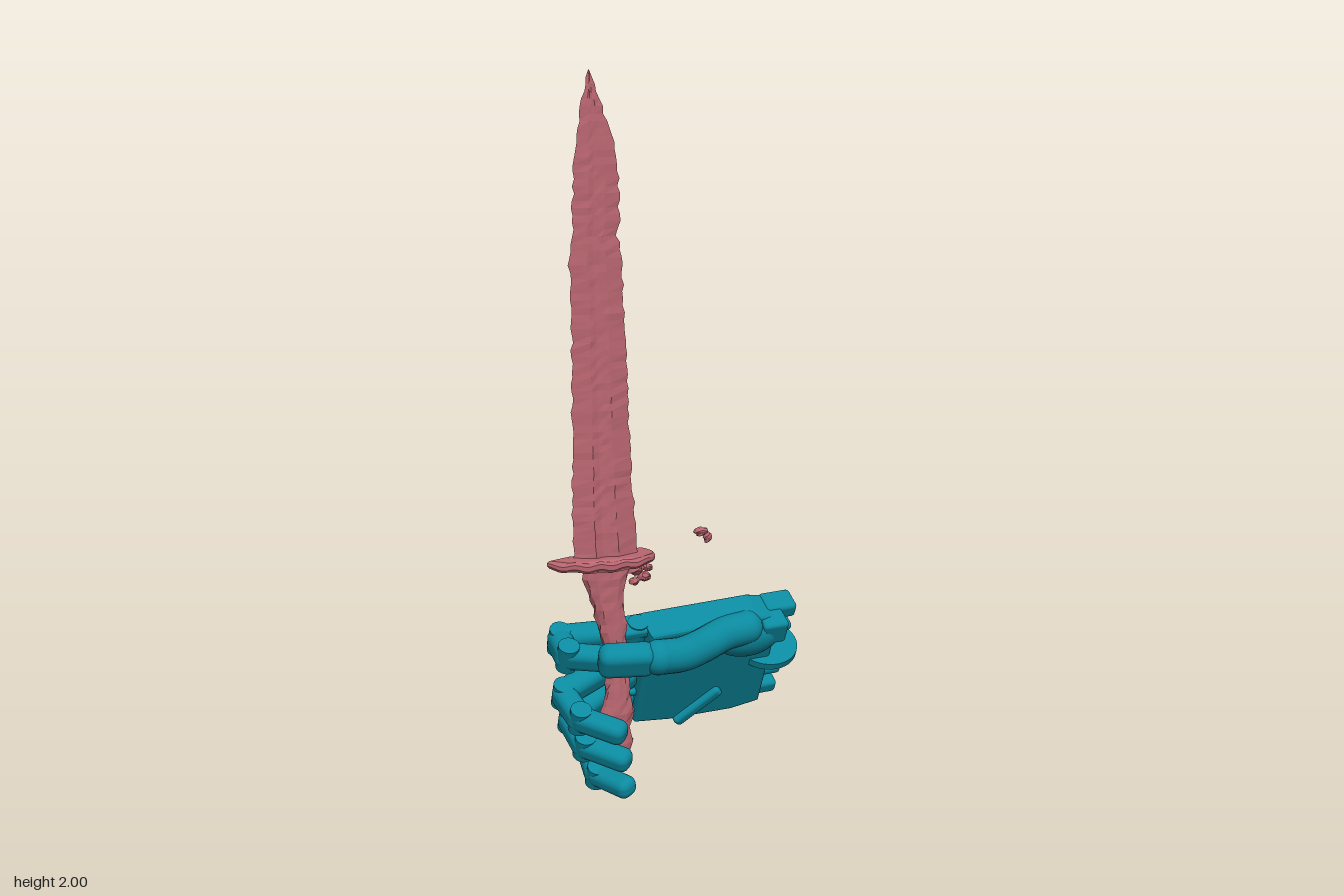
import * as THREE from 'three';
import { RoundedBoxGeometry } from 'three/addons/geometries/RoundedBoxGeometry.js';

const teal = new THREE.MeshStandardMaterial({ color: 0x0b8a9f });
const rust = new THREE.MeshStandardMaterial({ color: 0xb8656f, flatShading: true });
const V = (x, y, z) => new THREE.Vector3(x, y, z);
const acrossHand = V(0, 0.89, 0.457); // knuckle axis, pinky towards index

let seed = 7;
const jitter = (s) => {
  seed = (seed * 16807) % 2147483647;
  return (seed / 2147483647 - 0.5) * 2 * s;
};

function add(parent, name, geometry, material, x = 0, y = 0, z = 0) {
  const mesh = new THREE.Mesh(geometry, material);
  mesh.name = name;
  mesh.position.set(x, y, z);
  parent.add(mesh);
  return mesh;
}

// The weapon leans back slightly with height
const leanZ = (y) => 0.045 - 0.042 * (y - 0.7);

// Loft of sections [y, xLeft, xRight, halfThickness] with worn, uneven sides
function loft(profile, outline, steps, wear) {
  const n = outline.length, pos = [], idx = [];
  const y0 = profile[0][0], y1 = profile[profile.length - 1][0];
  for (let i = 0; i <= steps; i++) {
    const y = y0 + (y1 - y0) * i / steps;
    let k = 0;
    while (k < profile.length - 2 && profile[k + 1][0] < y) k++;
    const a = profile[k], b = profile[k + 1], t = (y - a[0]) / (b[0] - a[0]);
    const [l, r, h] = [1, 2, 3].map((c) => a[c] + (b[c] - a[c]) * t);
    const w = i === steps ? 0 : wear;
    for (const [u, v] of outline) {
      pos.push((l + r) / 2 + u * (r - l) / 2 + jitter(w) * Math.abs(u), y, leanZ(y) + v * h + jitter(w * 0.3));
    }
  }
  for (let i = 0; i < steps; i++) for (let j = 0; j < n; j++) {
    const a = i * n + j, b = i * n + (j + 1) % n;
    idx.push(a, a + n, b, b, a + n, b + n);
  }
  for (let j = 1; j < n - 1; j++) {
    idx.push(0, j, j + 1);
    const top = steps * n;
    idx.push(top, top + j + 1, top + j);
  }
  const g = new THREE.BufferGeometry();
  g.setAttribute('position', new THREE.Float32BufferAttribute(pos, 3));
  g.setIndex(idx);
  g.computeVertexNormals();
  return g;
}

// Outlines run clockwise seen from above x-right, z-down reversed, so faces point out
const bladeOutline = [[-1, 0], [-0.35, -1], [-0.12, -0.65], [0.12, -0.65], [0.35, -1], [1, 0], [0.35, 1], [0.12, 0.65], [-0.12, 0.65], [-0.35, 1]];
const roundOutline = Array.from({ length: 12 }, (_, i) => {
  const a = i / 12 * Math.PI * 2;
  return [-Math.cos(a), -Math.sin(a)];
});

function lump(parent, name, x, y, z, sx, sy, sz) {
  const g = new THREE.IcosahedronGeometry(1, 1);
  const p = g.attributes.position;
  for (let i = 0; i < p.count; i++) {
    const s = 1 + 0.18 * Math.sin(p.getX(i) * 7 + p.getY(i) * 5 + p.getZ(i) * 9 + x * 40);
    p.setXYZ(i, p.getX(i) * s * sx, p.getY(i) * s * sy, p.getZ(i) * s * sz);
  }
  g.computeVertexNormals();
  return add(parent, name, g, rust, x, y, z);
}

function buildSword() {
  const sword = new THREE.Group();
  sword.name = 'sword';
  add(sword, 'blade', loft([
    [0.68, -0.325, -0.14, 0.02], [0.8, -0.325, -0.147, 0.018], [1, -0.32, -0.157, 0.016],
    [1.4, -0.312, -0.167, 0.012], [1.5, -0.318, -0.17, 0.011], [1.54, -0.31, -0.172, 0.011],
    [1.57, -0.305, -0.188, 0.01], [1.6, -0.305, -0.175, 0.01], [1.75, -0.298, -0.174, 0.008],
    [1.83, -0.288, -0.19, 0.006], [1.92, -0.27, -0.222, 0.004], [2, -0.251, -0.249, 0.001],
  ], bladeOutline, 70, 0.004), rust);
  add(sword, 'grip', loft([
    [0.1, -0.225, -0.18, 0.018], [0.13, -0.24, -0.165, 0.03], [0.2, -0.23, -0.175, 0.024],
    [0.22, -0.265, -0.158, 0.03], [0.26, -0.25, -0.168, 0.028], [0.36, -0.232, -0.178, 0.025],
    [0.5, -0.265, -0.178, 0.028], [0.58, -0.285, -0.185, 0.03], [0.64, -0.3, -0.165, 0.032],
    [0.67, -0.28, -0.16, 0.032],
  ], roundOutline, 26, 0.006), rust);

  // Guard: pointed oval plate with a raised rim at the ends
  const s = new THREE.Shape();
  s.moveTo(-0.395, -0.055);
  s.splineThru([[-0.34, -0.082], [-0.22, -0.092], [-0.13, -0.083], [-0.095, -0.045],
    [-0.12, -0.008], [-0.22, 0], [-0.33, -0.025], [-0.395, -0.055]].map((p) => new THREE.Vector2(...p)));
  const guard = new THREE.ExtrudeGeometry(s, {
    depth: 0.014, bevelEnabled: true, bevelSize: 0.005, bevelThickness: 0.007, bevelSegments: 1, curveSegments: 28,
  });
  guard.rotateX(-Math.PI / 2);
  const p = guard.attributes.position;
  for (let i = 0; i < p.count; i++) {
    const d = (p.getX(i) + 0.24) / 0.15;
    p.setY(i, p.getY(i) + 0.01 * d * d * (p.getY(i) > 0.007 ? 0.5 : 1) + 0.003 * Math.sin(p.getX(i) * 90));
  }
  guard.computeVertexNormals();
  add(sword, 'guard', guard, rust, 0, 0.662, 0);

  // Crumbling pieces below the guard
  [[-0.15, 0.645, 0.05, 0.025], [-0.125, 0.62, 0.055, 0.018], [-0.155, 0.61, 0.06, 0.014], [-0.11, 0.64, 0.04, 0.014]]
    .forEach(([x, y, z, r]) => lump(sword, 'guardDebris', x, y, z, r, r * 0.8, r));
  // Loose fragment hanging in the air
  lump(sword, 'fragmentHead', 0.062, 0.717, -0.001, 0.02, 0.013, 0.017);
  lump(sword, 'fragmentTail', 0.08, 0.7, 0.002, 0.012, 0.016, 0.016);
  return sword;
}

// Straight finger link between two joints
function link(parent, name, a, b, width, thick) {
  const m = add(parent, name, new RoundedBoxGeometry(thick, width, a.distanceTo(b) + thick * 0.55, 3, thick * 0.38), teal);
  m.position.copy(a).add(b).multiplyScalar(0.5);
  m.up.copy(acrossHand);
  m.lookAt(b);
  return m;
}

function finger(parent, name, joints, width) {
  const g = new THREE.Group();
  g.name = name;
  parent.add(g);
  const pts = joints.map((j) => V(...j));
  for (let i = 0; i < 3; i++) {
    link(g, ['proximalLink', 'middleLink', 'fingertip'][i], pts[i], pts[i + 1], width * (1 - 0.06 * i), 0.074 - 0.005 * i);
    const pin = add(g, 'jointPin', new THREE.CylinderGeometry(0.03, 0.03, width * 1.04, 20), teal);
    pin.position.copy(pts[i]);
    pin.quaternion.setFromUnitVectors(V(0, 1, 0), acrossHand.clone().normalize());
  }
}

function buildPalm() {
  const palm = new THREE.Group();
  palm.name = 'palm';
  palm.position.set(0, 0.3, -0.075);
  palm.rotation.set(0.475, 0.07, 0);
  const box = (name, x, y, z, w, h, d, r = 0.012) =>
    add(palm, name, new RoundedBoxGeometry(w, h, d, 3, r), teal, x, y, z);

  // Main shell
  const s = new THREE.Shape([[-0.1, -0.165], [0.0, -0.18], [0.2, -0.185], [0.28, -0.17], [0.28, 0.17], [0.22, 0.185],
    [-0.1, 0.18]].map((p) => new THREE.Vector2(...p)));
  const shell = new THREE.ExtrudeGeometry(s, {
    depth: 0.075, bevelEnabled: true, bevelSize: 0.012, bevelThickness: 0.014, bevelSegments: 3,
  });
  add(palm, 'palmShell', shell, teal, 0, 0, -0.035);
  // Knuckle forks between the fingers
  [-0.16, -0.075, 0.01, 0.095, 0.175].forEach((y, i) =>
    box('knuckleFork', -0.125, y, -0.01, 0.11, i % 4 ? 0.022 : 0.03, 0.075, 0.01));
  // Wrist tabs and the round hinge plate
  [[0.165, 0.05], [0.095, 0.03], [-0.09, 0.03], [-0.165, 0.045]].forEach(([y, h]) =>
    box('wristTab', 0.31, y, -0.012, 0.1, h, 0.075, 0.013));
  const hinge = add(palm, 'hingePlate', new THREE.CylinderGeometry(0.095, 0.095, 0.022, 40), teal, 0.3, 0.01, 0);
  hinge.scale.z = 0.95;
  // Slanted rib wrapped around the outer edge
  box('edgeRib', 0.08, -0.14, 0.01, 0.17, 0.035, 0.125).rotation.z = 0.75;
  // Base pad of the thumb
  add(palm, 'thumbPad', new THREE.SphereGeometry(1, 28, 18), teal, 0.2, 0.12, 0.05).scale.set(0.1, 0.065, 0.05);
  box('thumbMount', 0.27, 0.145, 0.05, 0.08, 0.08, 0.07);
  return palm;
}

function buildThumb() {
  const thumb = new THREE.Group();
  thumb.name = 'thumb';
  const path = new THREE.CatmullRomCurve3([V(0.19, 0.425, 0.03), V(0.12, 0.42, 0.045), V(0.04, 0.41, 0.09),
    V(-0.04, 0.41, 0.14), V(-0.12, 0.42, 0.168)]);
  add(thumb, 'thumbBase', new THREE.TubeGeometry(path, 40, 0.049, 22), teal);
  for (const t of [0, 1]) {
    add(thumb, 'thumbJoint', new THREE.SphereGeometry(0.0495, 22, 16), teal).position.copy(path.getPoint(t));
  }
  link(thumb, 'thumbTip', V(-0.15, 0.418, 0.166), V(-0.265, 0.42, 0.15), 0.095, 0.075);
  return thumb;
}

export function createModel() {
  const model = new THREE.Group();
  model.name = 'handHoldingSword';
  const hand = new THREE.Group();
  hand.name = 'hand';
  hand.add(buildPalm(), buildThumb());
  finger(hand, 'indexFinger', [[-0.13, 0.435, -0.005], [-0.355, 0.435, -0.015], [-0.355, 0.42, 0.08], [-0.2, 0.4, 0.11]], 0.08);
  finger(hand, 'middleFinger', [[-0.13, 0.355, -0.055], [-0.345, 0.27, -0.02], [-0.325, 0.235, 0.09], [-0.23, 0.21, 0.165]], 0.075);
  finger(hand, 'ringFinger', [[-0.13, 0.275, -0.095], [-0.32, 0.18, -0.05], [-0.305, 0.14, 0.06], [-0.21, 0.115, 0.14]], 0.072);
  finger(hand, 'littleFinger', [[-0.13, 0.2, -0.13], [-0.265, 0.09, -0.06], [-0.27, 0.048, 0.06], [-0.21, 0.042, 0.16]], 0.066);
  model.add(hand, buildSword());
  return model;
}
